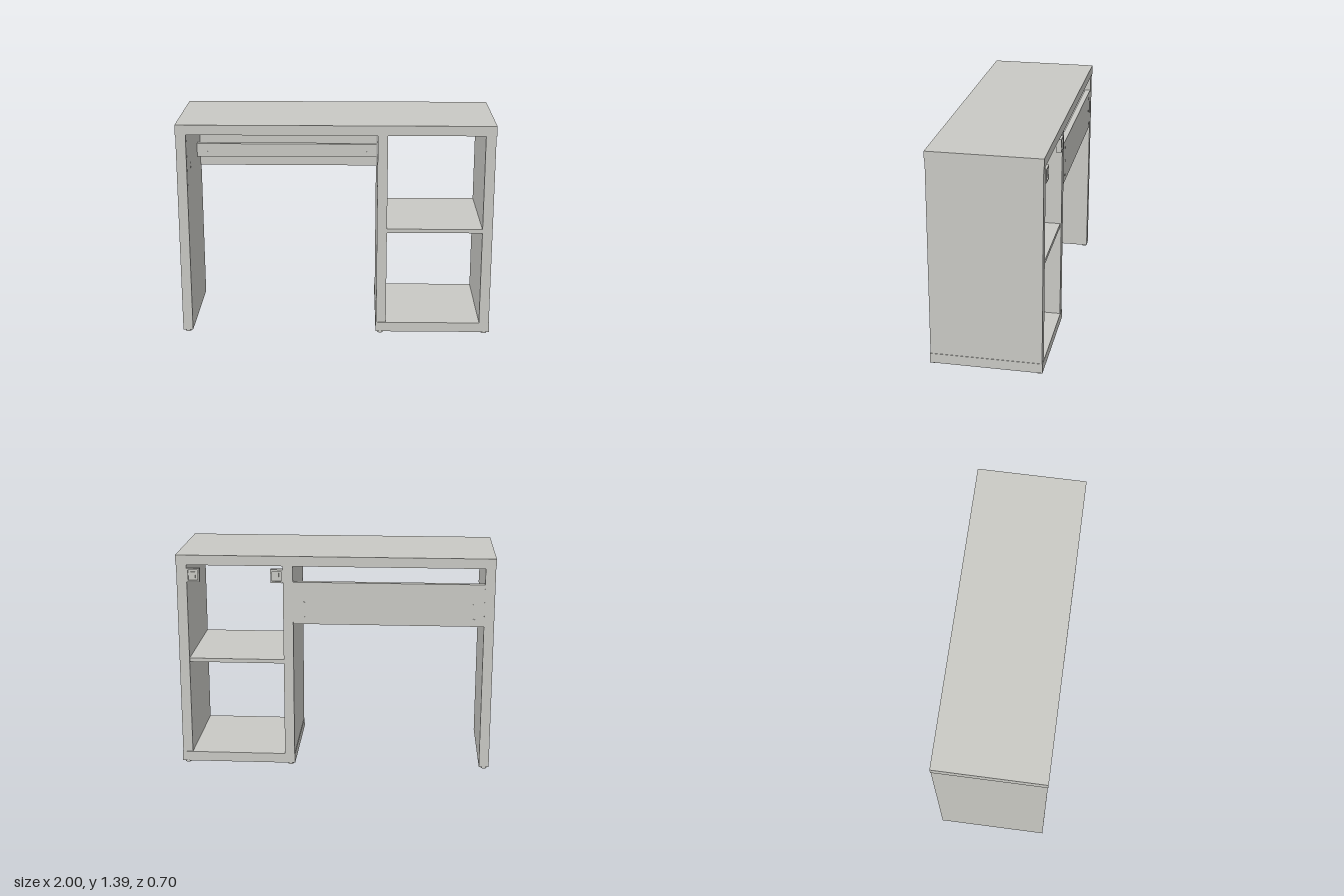
import * as THREE from 'three';

export function createModel() {
  const desk = new THREE.Group();
  desk.name = 'desk';
  const grey = new THREE.MeshStandardMaterial({ color: 0xc9c9c4 });
  grey.name = 'warm grey';

  // Box given by its limits on each axis
  function board(name, [x0, x1], [y0, y1], [z0, z1], parent = desk) {
    const mesh = new THREE.Mesh(new THREE.BoxGeometry(x1 - x0, y1 - y0, z1 - z0), grey);
    mesh.position.set((x0 + x1) / 2, (y0 + y1) / 2, (z0 + z1) / 2);
    mesh.name = name;
    parent.add(mesh);
    return mesh;
  }

  // Small round fitting whose axis runs along x, y or z
  function disc(name, radius, depth, axis, x, y, z) {
    const geometry = new THREE.CylinderGeometry(radius, radius, depth, 16);
    if (axis === 'x') geometry.rotateZ(Math.PI / 2);
    if (axis === 'z') geometry.rotateX(Math.PI / 2);
    const mesh = new THREE.Mesh(geometry, grey);
    mesh.position.set(x, y, z);
    mesh.name = name;
    desk.add(mesh);
  }

  // Main carcass
  const full = [-0.35, 0.35], inset = [-0.347, 0.347];
  board('desktop', [-1, 1], [1.325, 1.388], full);
  board('leftLeg', [-0.998, -0.935], [0.012, 1.325], inset);
  board('cabinetInnerSide', [0.263, 0.326], [0.075, 1.325], inset);
  board('cabinetOuterSide', [0.933, 0.997], [0.075, 1.325], inset);
  board('cabinetBase', [0.26, 1], [0.012, 0.075], full);
  board('shelf', [0.326, 0.933], [0.688, 0.713], [-0.34, 0.34]);

  // Back panel and the rail in front of it
  board('backPanel', [-0.935, 0.263], [0.953, 1.223], [-0.345, -0.309]);
  board('cableRail', [-0.935, 0.263], [1.052, 1.14], [-0.193, -0.157]);

  // Cam fittings on the back panel and the rail
  for (const x of [-0.87, 0.195]) {
    disc('railFitting', 0.008, 0.004, 'z', x, 1.082, -0.157);
    for (const y of [0.995, 1.09, 1.18]) disc('panelFitting', 0.008, 0.004, 'z', x, y, -0.345);
  }

  // Spare fixing points on the inner faces towards the front
  for (const x of [-0.935, 0.263]) {
    for (const y of [0.995, 1.09, 1.18, 1.28]) disc('fixingPoint', 0.006, 0.004, 'x', x, y, 0.327);
    for (const y of [1.07, 1.1]) disc('fixingPoint', 0.006, 0.004, 'x', x, y, 0.175);
  }

  // Corner brackets at the back of the cabinet, with a raised rim and centre
  for (const [x0, x1] of [[0.326, 0.403], [0.852, 0.933]]) {
    const bracket = new THREE.Group();
    bracket.name = 'cornerBracket';
    desk.add(bracket);
    const y0 = 1.217, y1 = 1.303, rim = 0.01, zs = [-0.353, -0.34];
    board('bracketPlate', [x0, x1], [y0, y1], [-0.34, -0.32], bracket);
    board('bracketRim', [x0, x0 + rim], [y0, y1], zs, bracket);
    board('bracketRim', [x1 - rim, x1], [y0, y1], zs, bracket);
    board('bracketRim', [x0 + rim, x1 - rim], [y0, y0 + rim], zs, bracket);
    board('bracketRim', [x0 + rim, x1 - rim], [y1 - rim, y1], zs, bracket);
    const cx = (x0 + x1) / 2;
    board('bracketCentre', [cx - 0.014, cx + 0.014], [1.24, 1.28], [-0.348, -0.34], bracket);
  }

  // Feet under the leg and the cabinet
  for (const x of [-0.967, 0.29, 0.967])
    for (const z of [-0.325, 0.325]) disc('foot', 0.018, 0.013, 'y', x, 0.0065, z);

  return desk;
}
